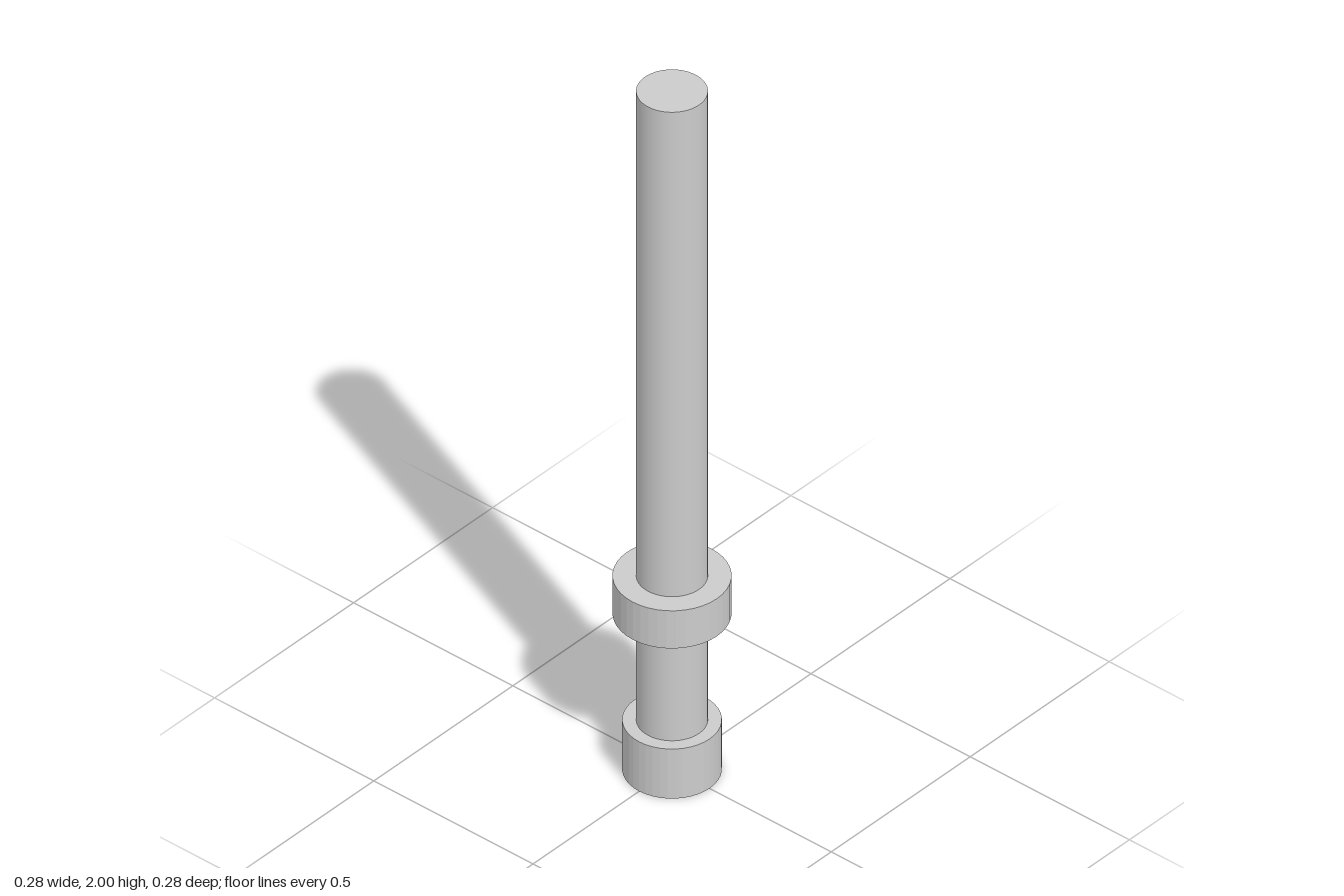
import * as THREE from 'three';

export function createModel() {
  const group = new THREE.Group();
  const smooth = new THREE.MeshStandardMaterial({ color: 0xcccccc });
  const faceted = new THREE.MeshStandardMaterial({ color: 0xcccccc, flatShading: true });

  // Upright solid cylinder spanning bottom..top
  function addCylinder(name, radius, bottom, top, segments, material) {
    const geometry = new THREE.CylinderGeometry(radius, radius, top - bottom, segments);
    const mesh = new THREE.Mesh(geometry, material);
    mesh.name = name;
    mesh.position.y = (bottom + top) / 2;
    group.add(mesh);
  }

  // Long round shaft, starting inside the foot
  addCylinder('shaft', 0.085, 0.02, 2, 48, smooth);
  // Wide ring around the lower shaft
  addCylinder('collar', 0.141, 0.46, 0.571, 40, faceted);
  // Thick end the shaft stands in
  addCylinder('foot', 0.118, 0, 0.146, 40, faceted);

  return group;
}
